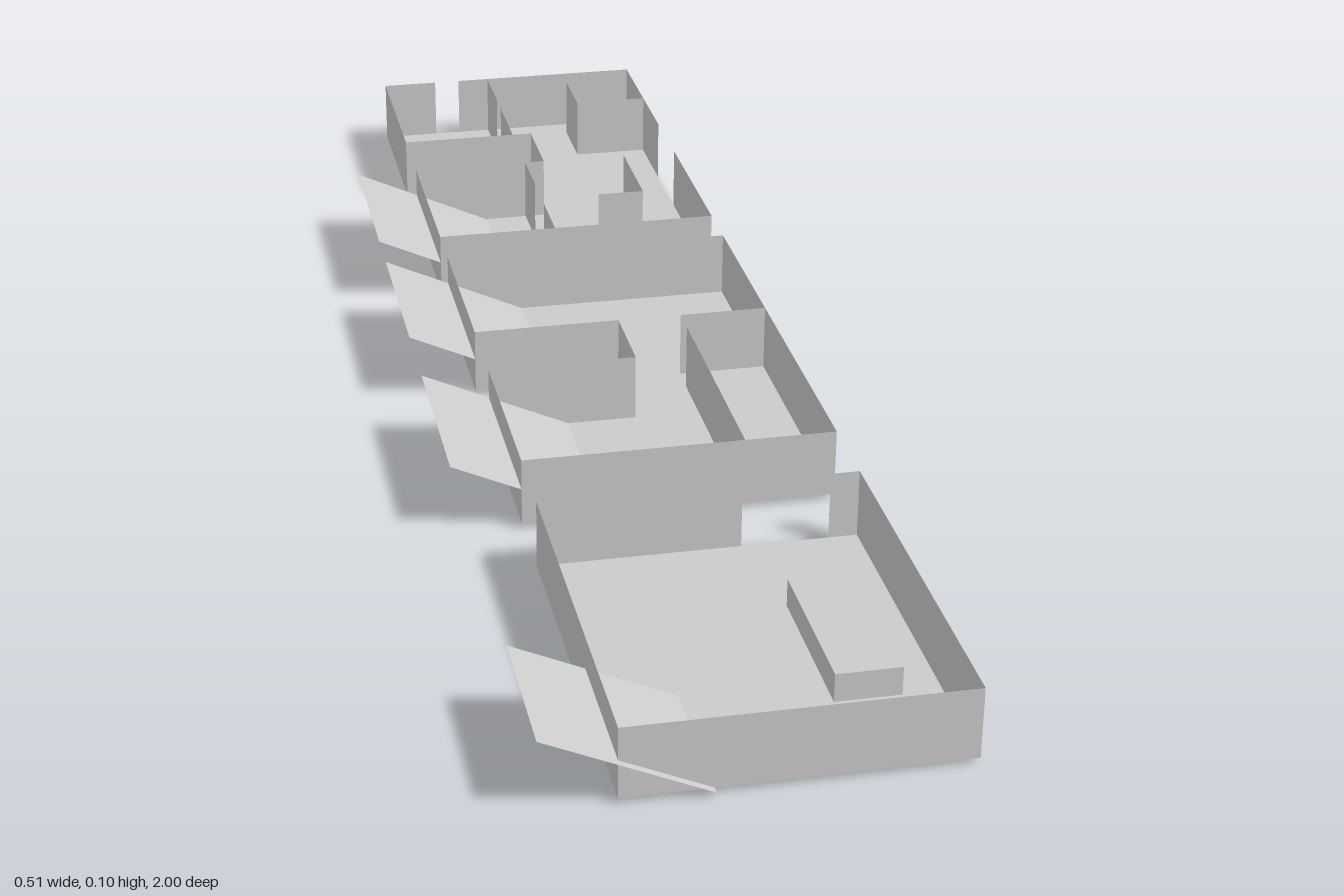
import * as THREE from 'three';

const FLOOR = 0.007, TOP = 0.1;
const W = -0.165, E = 0.253, NECK = 0.04;

export function createModel() {
  const model = new THREE.Group();
  const mat = new THREE.MeshStandardMaterial({ color: 0xcccccc, side: THREE.DoubleSide, flatShading: true });

  const add = (parent, geometry, name) => {
    const mesh = new THREE.Mesh(geometry, mat);
    mesh.name = name;
    parent.add(mesh);
    return mesh;
  };

  // Thin upright wall between two plan points [x, z]
  const wall = (parent, name, x1, z1, x2, z2) => {
    const m = add(parent, new THREE.PlaneGeometry(Math.hypot(x2 - x1, z2 - z1), TOP - FLOOR), name);
    m.position.set((x1 + x2) / 2, (TOP + FLOOR) / 2, (z1 + z2) / 2);
    m.rotation.y = -Math.atan2(z2 - z1, x2 - x1);
  };

  // Chain of walls through plan points
  const walls = (parent, name, pts) => {
    for (let i = 1; i < pts.length; i++) wall(parent, name, ...pts[i - 1], ...pts[i]);
  };

  // Floor slab outline lying in the plan
  const floor = (parent, pts) => {
    const shape = new THREE.Shape(pts.map(([x, z]) => new THREE.Vector2(x, -z)));
    const m = add(parent, new THREE.ShapeGeometry(shape), 'floor');
    m.rotation.x = -Math.PI / 2;
    m.position.y = FLOOR;
  };

  // Sloping panel rising through the -x wall
  const ramp = (parent, z1, z2) => {
    const x1 = -0.257, x2 = -0.055;
    const m = add(parent, new THREE.PlaneGeometry(Math.hypot(x2 - x1, TOP - FLOOR), z2 - z1), 'slopingPanel');
    m.geometry.rotateX(-Math.PI / 2);
    m.rotation.z = -Math.atan2(TOP - FLOOR, x2 - x1);
    m.position.set((x1 + x2) / 2, (TOP + FLOOR) / 2, (z1 + z2) / 2);
  };

  const section = (name) => {
    const g = new THREE.Group();
    g.name = name;
    model.add(g);
    return g;
  };

  // Plan outline of a block with a notch cut in its -x side
  const notched = (zBack, n1, n2, zFront) => [
    [E, zBack], [W, zBack], [W, n1], [NECK, n1], [NECK, n2], [W, n2], [W, zFront], [E, zFront],
  ];

  // Rear block: several small rooms, a doorway at the back and one on the +x side
  const rear = section('rearBlock');
  const rearPlan = notched(-1, -0.74, -0.62, -0.355);
  floor(rear, rearPlan);
  walls(rear, 'outerWall', [[-0.08, -1], ...rearPlan.slice(1), [E, -0.62]]);
  walls(rear, 'outerWall', [[E, -0.74], [E, -1], [-0.04, -1]]);
  for (const [z1, z2] of [[-1, -0.9], [-0.86, -0.74], [-0.62, -0.53], [-0.45, -0.355]])
    wall(rear, 'partition', 0.01, z1, 0.01, z2);
  walls(rear, 'partition', [[0.14, -0.96], [0.14, -0.86], [E, -0.86]]);
  walls(rear, 'partition', [[0.1, -0.47], [0.17, -0.47], [0.17, -0.62]]);
  ramp(rear, -0.62, -0.355);

  // Middle block: one corner room with a narrow doorway
  const middle = section('middleBlock');
  const middlePlan = notched(-0.28, -0.02, 0.1, 0.365);
  floor(middle, middlePlan);
  walls(middle, 'outerWall', [...middlePlan, middlePlan[0]]);
  wall(middle, 'partition', 0.13, -0.02, E, -0.02);
  wall(middle, 'partition', 0.13, 0.02, 0.13, 0.365);
  ramp(middle, -0.28, -0.02);
  ramp(middle, 0.1, 0.365);

  // Front block: open hall with a wide entrance and a low counter
  const front = section('frontBlock');
  floor(front, [[E, 0.475], [W, 0.475], [W, 0.99], [E, 0.99]]);
  walls(front, 'outerWall', [[0.1, 0.475], [W, 0.475], [W, 0.99], [E, 0.99], [E, 0.475], [0.215, 0.475]]);
  ramp(front, 0.8, 1);
  const counter = add(front, new THREE.BoxGeometry(0.083, 0.045, 0.22), 'counter');
  counter.position.set(0.162, 0.0225, 0.738);

  return model;
}
